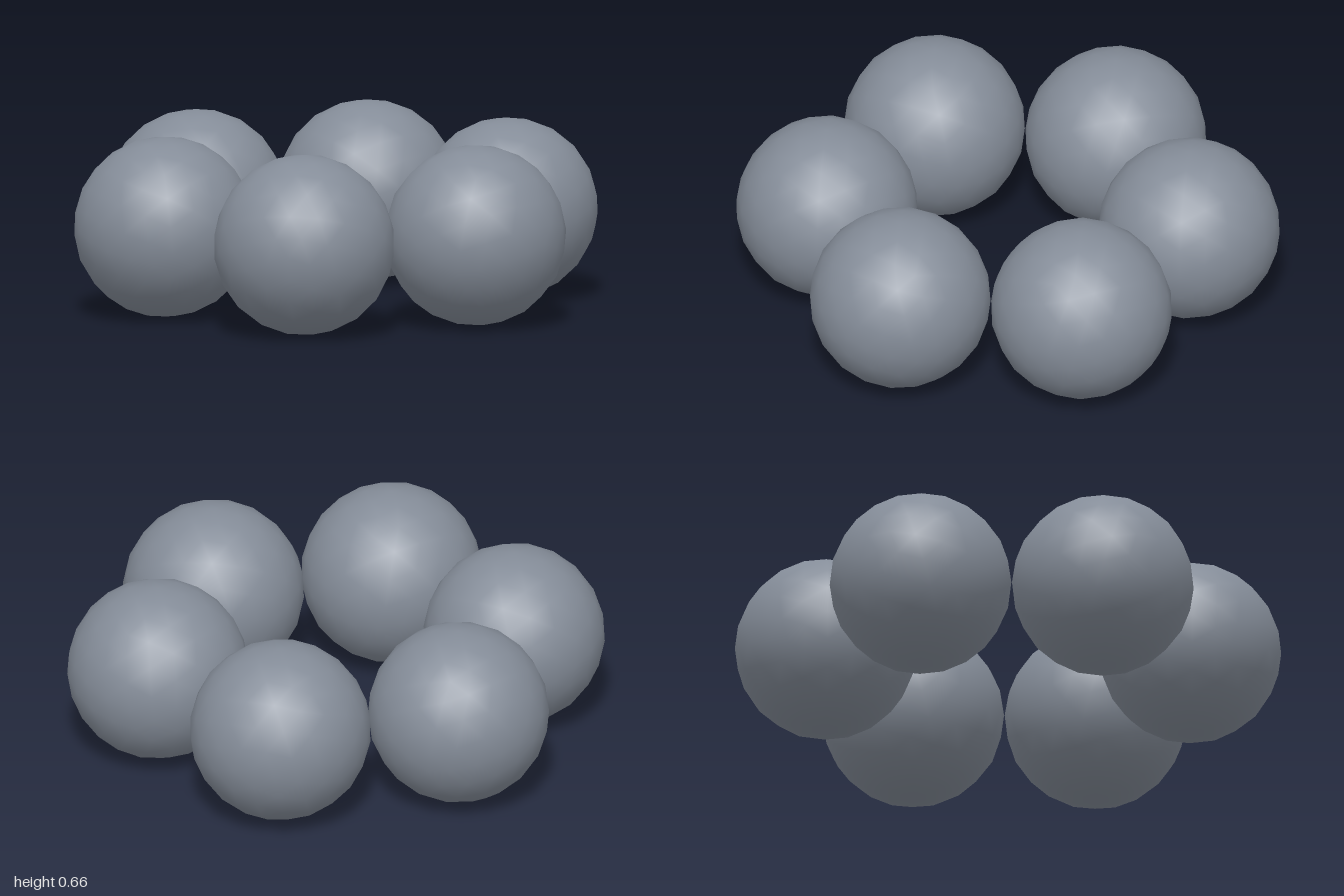
import * as THREE from 'three';

export function createModel() {
  const model = new THREE.Group();
  model.name = 'ringOfSpheres';

  const slateGrey = new THREE.MeshStandardMaterial({ color: 0x848c98 });
  slateGrey.name = 'slate grey';

  const count = 6;
  const radius = 0.332; // neighbours just touch
  const ringRadius = 0.666;

  // Smooth faceted ball, tipped so that a vertex points up
  const ball = new THREE.IcosahedronGeometry(radius, 3);
  ball.rotateX(Math.atan(2 / (1 + Math.sqrt(5))));

  // Six equal balls around a hexagonal ring, two of them on the z axis
  for (let i = 0; i < count; i++) {
    const angle = (i / count) * Math.PI * 2;
    const sphere = new THREE.Mesh(ball, slateGrey);
    sphere.name = `sphere${i + 1}`;
    sphere.position.set(Math.sin(angle) * ringRadius, 0.333, Math.cos(angle) * ringRadius);
    sphere.rotation.y = angle;
    model.add(sphere);
  }

  return model;
}
